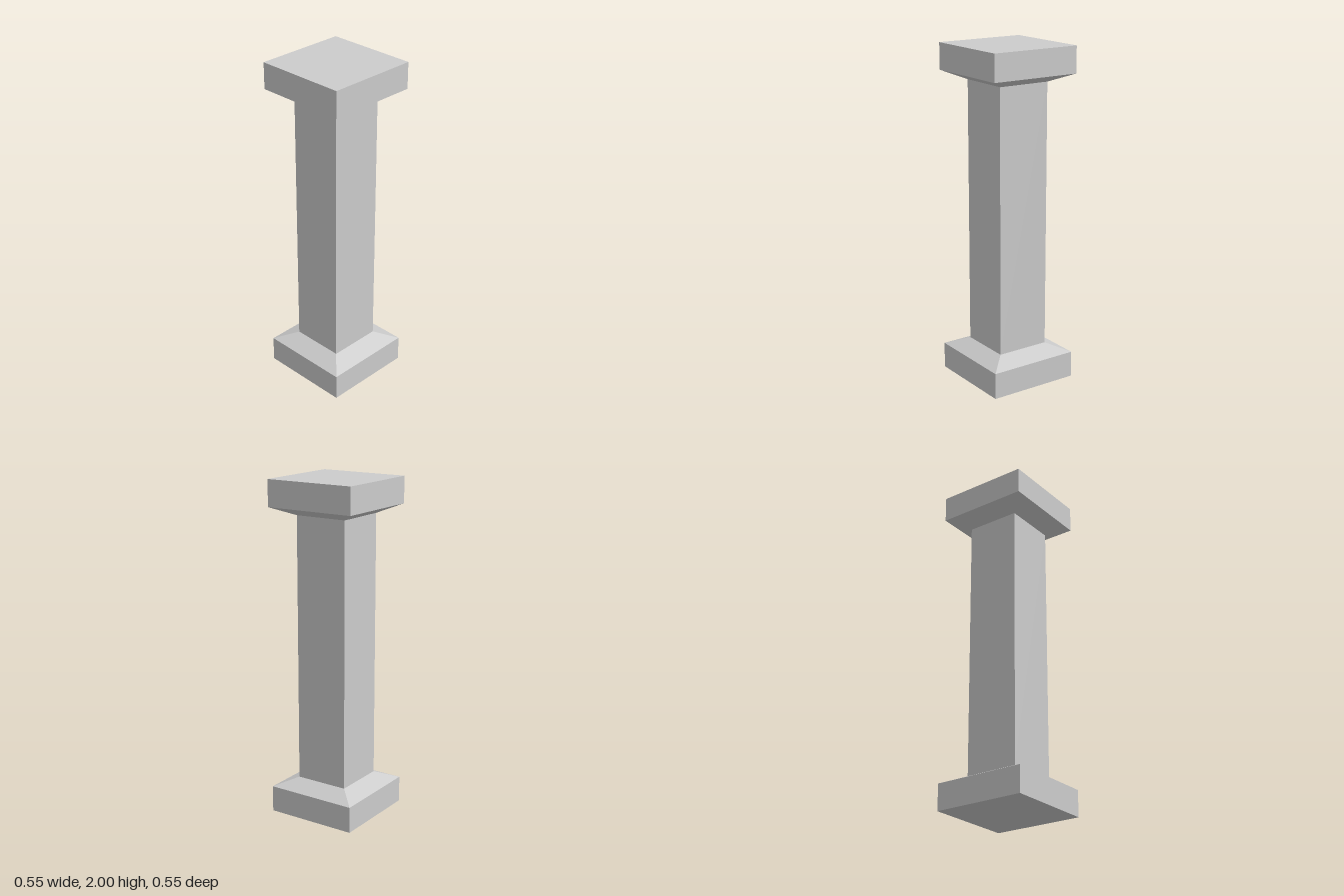
import * as THREE from 'three';

const HALF_BLOCK = 0.277, HALF_SHAFT = 0.162;
const BLOCK_H = 0.157, SLOPE_H = 0.05, HEIGHT = 2;

export function createModel() {
  const model = new THREE.Group();
  model.name = 'squareColumn';
  const stone = new THREE.MeshStandardMaterial({ color: 0xcccccc, flatShading: true });
  stone.name = 'light grey stone';

  const add = (name, geometry, y) => {
    const mesh = new THREE.Mesh(geometry, stone);
    mesh.name = name;
    mesh.position.y = y;
    model.add(mesh);
  };
  // Open-ended four-sided frustum with its sides facing the axes
  const frustum = (top, bottom, h) => new THREE.CylinderGeometry(
    top * Math.SQRT2, bottom * Math.SQRT2, h, 4, 1, true, Math.PI / 4);
  const block = () => new THREE.BoxGeometry(HALF_BLOCK * 2, BLOCK_H, HALF_BLOCK * 2);

  // Base block and the slope up to the shaft
  add('baseBlock', block(), BLOCK_H / 2);
  add('baseSlope', frustum(HALF_SHAFT, HALF_BLOCK, SLOPE_H), BLOCK_H + SLOPE_H / 2);

  // Shaft
  const shaftH = HEIGHT - 2 * (BLOCK_H + SLOPE_H);
  add('shaft', frustum(HALF_SHAFT, HALF_SHAFT, shaftH), HEIGHT / 2);

  // Capital, mirroring the base
  add('capitalSlope', frustum(HALF_BLOCK, HALF_SHAFT, SLOPE_H), HEIGHT - BLOCK_H - SLOPE_H / 2);
  add('capitalBlock', block(), HEIGHT - BLOCK_H / 2);

  return model;
}
